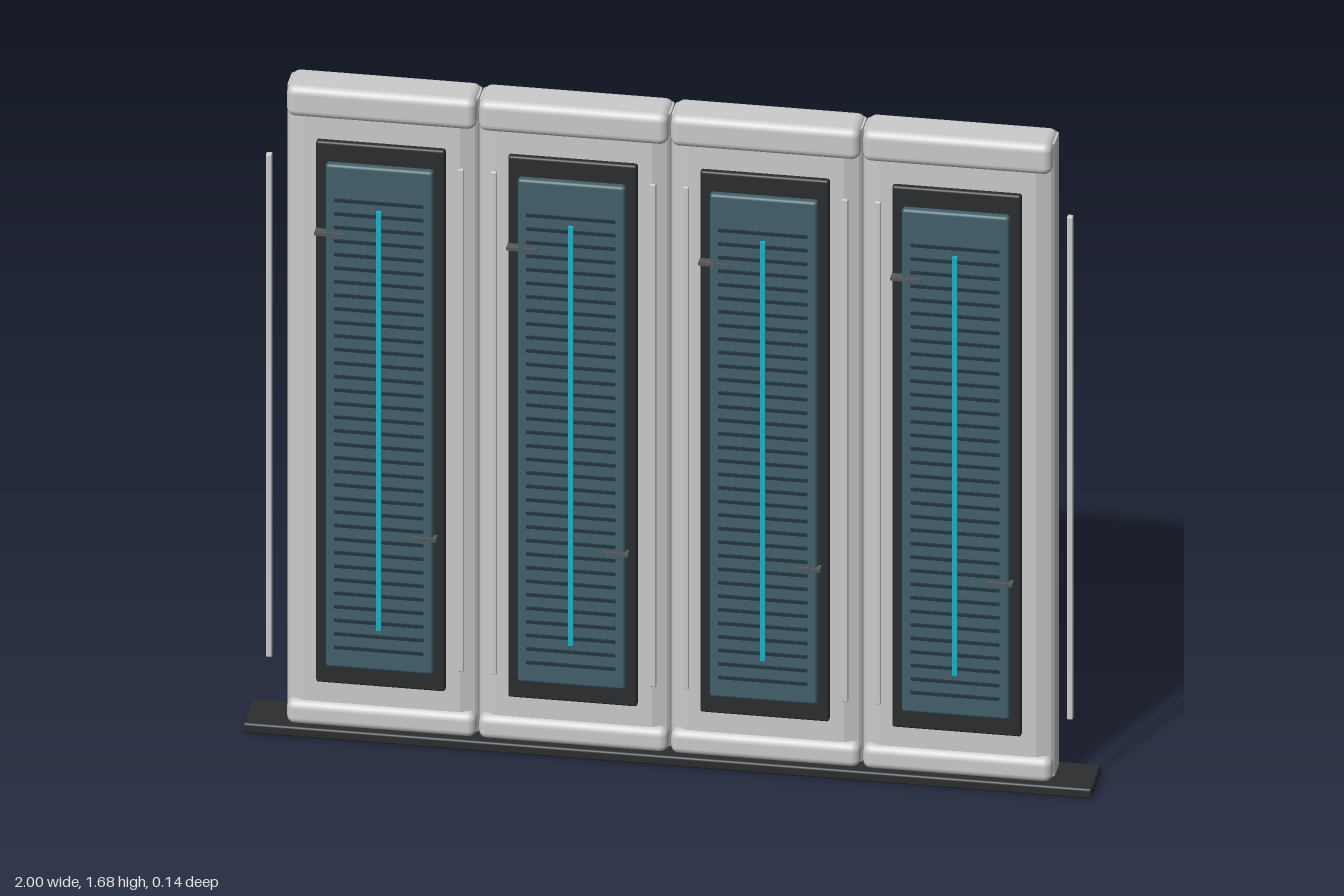
import * as THREE from 'three';
import { RoundedBoxGeometry } from 'three/addons/geometries/RoundedBoxGeometry.js';

const mat = (color) => new THREE.MeshStandardMaterial({ color });
const grey = mat(0xcccccc);
const dark = mat(0x2b2d2f);
const blue = mat(0x41606c);
const slit = mat(0x22343c);
const cyan = mat(0x14b4cc);
const metal = mat(0x555a5c);

// Box given by its limits on each axis; a radius rounds the edges
function block(parent, name, material, [x0, x1], [y0, y1], [z0, z1], radius = 0) {
  const size = [x1 - x0, y1 - y0, z1 - z0];
  const geometry = radius ? new RoundedBoxGeometry(...size, 3, radius) : new THREE.BoxGeometry(...size);
  const mesh = new THREE.Mesh(geometry, material);
  mesh.name = name;
  mesh.position.set((x0 + x1) / 2, (y0 + y1) / 2, (z0 + z1) / 2);
  parent.add(mesh);
  return mesh;
}

// Upright slab whose plan has sloping front shoulders and small rear chamfers
function panelBody() {
  const half = [[0.185, 0.03], [0.218, 0.014], [0.225, 0.006], [0.225, -0.05], [0.217, -0.058]];
  const outline = [...half, ...half.map(([x, z]) => [-x, z]).reverse()];
  const shape = new THREE.Shape(outline.map(([x, z]) => new THREE.Vector2(x, -z)));
  const geometry = new THREE.ExtrudeGeometry(shape, { depth: 1.655, bevelEnabled: false });
  geometry.rotateX(-Math.PI / 2);
  const mesh = new THREE.Mesh(geometry, grey);
  mesh.name = 'panelBody';
  mesh.position.y = 0.02;
  return mesh;
}

function createPanel() {
  const panel = new THREE.Group();
  panel.name = 'wallPanel';
  panel.add(panelBody());

  // Rounded rails across top and bottom
  block(panel, 'topRail', grey, [-0.223, 0.223], [1.605, 1.685], [-0.066, 0.044], 0.02);
  block(panel, 'bottomRail', grey, [-0.223, 0.223], [0.022, 0.085], [-0.066, 0.044], 0.02);

  // Dark surround with the raised coloured insert
  block(panel, 'insertFrame', dark, [-0.152, 0.152], [0.14, 1.55], [0.015, 0.044], 0.006);
  block(panel, 'insert', blue, [-0.127, 0.127], [0.19, 1.5], [0.03, 0.061], 0.008);

  // Horizontal louvre slats
  const slats = new THREE.Group();
  slats.name = 'slats';
  for (let i = 0; i < 34; i++) {
    const y = 0.245 + i * 0.0353;
    block(slats, 'slat', slit, [-0.105, 0.105], [y - 0.0035, y + 0.0035], [0.055, 0.066]);
  }
  panel.add(slats);

  // Central light strip
  block(panel, 'lightStrip', cyan, [-0.006, 0.006], [0.3, 1.39], [0.055, 0.071]);

  // Small latch bars on the insert
  block(panel, 'upperLatch', metal, [-0.152, -0.08], [1.316, 1.324], [0.04, 0.068]);
  block(panel, 'lowerLatch', metal, [0.075, 0.135], [0.541, 0.549], [0.045, 0.068]);

  // Slim upright trims standing off both sides
  for (const side of [-1, 1]) {
    const x = side * 0.265;
    block(panel, side > 0 ? 'leftTrim' : 'rightTrim', grey, [x - 0.007, x + 0.007], [0.19, 1.5], [0.018, 0.034], 0.003);
  }

  // Foot strip showing under the base
  block(panel, 'footStrip', grey, [-0.18, 0.18], [0, 0.02], [-0.025, 0.005]);
  return panel;
}

export function createModel() {
  const model = new THREE.Group();
  model.name = 'panelWall';
  block(model, 'basePlate', dark, [-1, 1], [0.001, 0.027], [-0.072, 0.061], 0.006);
  for (let i = 0; i < 4; i++) {
    const panel = createPanel();
    panel.position.x = (i - 1.5) * 0.4525;
    model.add(panel);
  }
  return model;
}
